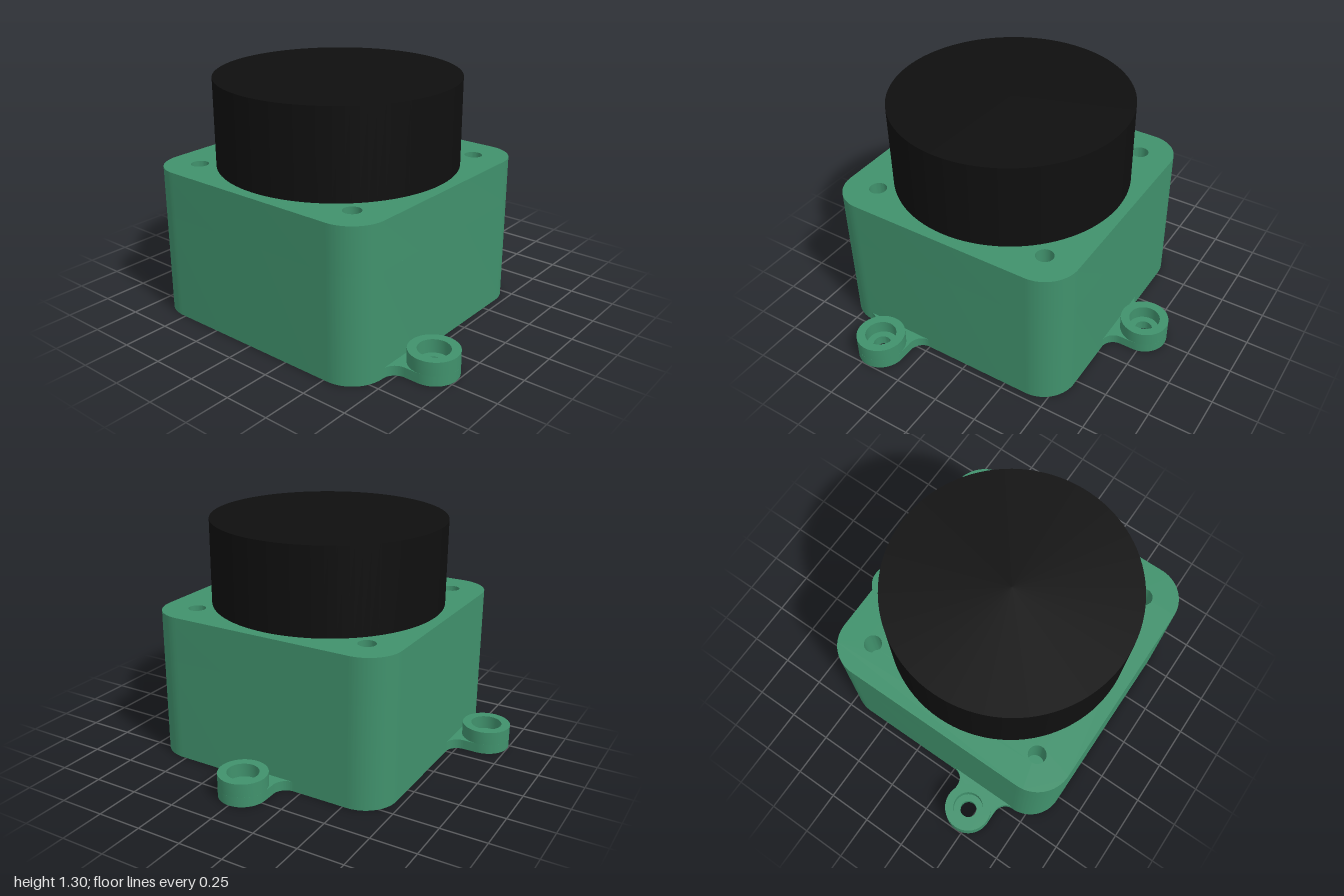
import * as THREE from 'three';
import { toCreasedNormals } from 'three/addons/utils/BufferGeometryUtils.js';

const BODY_X = -0.143, HALF = 0.713, CORNER = 0.19, TOP = 0.825;
const HOLE_DEPTH = 0.25, HOLE_OFFSET = HALF - CORNER;

// Extrude a plan outline upwards from y0 to y1
function slab(shape, y0, y1) {
  const g = new THREE.ExtrudeGeometry(shape, { depth: y1 - y0, bevelEnabled: false, curveSegments: 20 });
  g.rotateX(-Math.PI / 2).translate(0, y0, 0);
  return toCreasedNormals(g, 0.6);
}

function addHole(shape, x, y, r) {
  const hole = new THREE.Path();
  hole.absarc(x, y, r, 0, Math.PI * 2, true);
  shape.holes.push(hole);
}

function roundedSquare() {
  const s = new THREE.Shape(), c = HALF - CORNER;
  [[c, c], [-c, c], [-c, -c], [c, -c]].forEach(([x, y], i) =>
    s.absarc(x, y, CORNER, i * Math.PI / 2, (i + 1) * Math.PI / 2, false));
  return s;
}

// Ear outline: x runs outwards from the wall, with fillets at the root
const EAR_R = 0.133, EAR_X = 0.153, FILLET = 0.075;
function earOutline() {
  const s = new THREE.Shape(), w = EAR_R + FILLET;
  s.moveTo(0, -w);
  s.absarc(FILLET, -w, FILLET, Math.PI, Math.PI / 2, true);
  s.absarc(EAR_X, 0, EAR_R, -Math.PI / 2, Math.PI / 2, false);
  s.absarc(FILLET, w, FILLET, -Math.PI / 2, -Math.PI, true);
  s.closePath();
  addHole(s, EAR_X, 0, 0.047);
  return s;
}

export function createModel() {
  const green = new THREE.MeshStandardMaterial({ color: 0x40916c });
  green.name = 'green housing';
  const black = new THREE.MeshStandardMaterial({ color: 0x0f0f0f });
  black.name = 'black cap';

  const model = new THREE.Group();
  model.name = 'sensorHousing';
  const add = (parent, name, geometry, material) => {
    const mesh = new THREE.Mesh(geometry, material);
    mesh.name = name;
    parent.add(mesh);
    return mesh;
  };

  // Housing: solid lower block, upper block with four blind screw holes
  const housing = new THREE.Group();
  housing.name = 'housing';
  housing.position.x = BODY_X;
  model.add(housing);
  add(housing, 'lowerBlock', slab(roundedSquare(), 0, TOP - HOLE_DEPTH), green);
  const drilled = roundedSquare();
  for (const x of [-1, 1]) for (const y of [-1, 1])
    addHole(drilled, x * HOLE_OFFSET, y * HOLE_OFFSET, 0.048);
  add(housing, 'upperBlock', slab(drilled, TOP - HOLE_DEPTH, TOP), green);

  // Round cap on top
  const cap = add(model, 'roundCap', new THREE.CylinderGeometry(0.652, 0.652, 1.3 - TOP, 96), black);
  cap.position.set(BODY_X, (1.3 + TOP) / 2, 0);

  // Mounting ears: thin filleted flange with a counterbored boss
  const flange = slab(earOutline(), 0, 0.055);
  const ring = new THREE.Shape();
  ring.absarc(EAR_X, 0, EAR_R, 0, Math.PI * 2, false);
  addHole(ring, EAR_X, 0, 0.085);
  const boss = slab(ring, 0.055, 0.13);
  const ears = [
    ['frontEar', -0.46, HALF, -Math.PI / 2],
    ['backEar', -0.46, -HALF, Math.PI / 2],
    ['leftEar', BODY_X + HALF, 0, 0],
  ];
  for (const [name, x, z, turn] of ears) {
    const ear = new THREE.Group();
    ear.name = name;
    ear.position.set(x, 0, z);
    ear.rotation.y = turn;
    add(ear, 'flange', flange, green);
    add(ear, 'boss', boss, green);
    model.add(ear);
  }
  return model;
}
